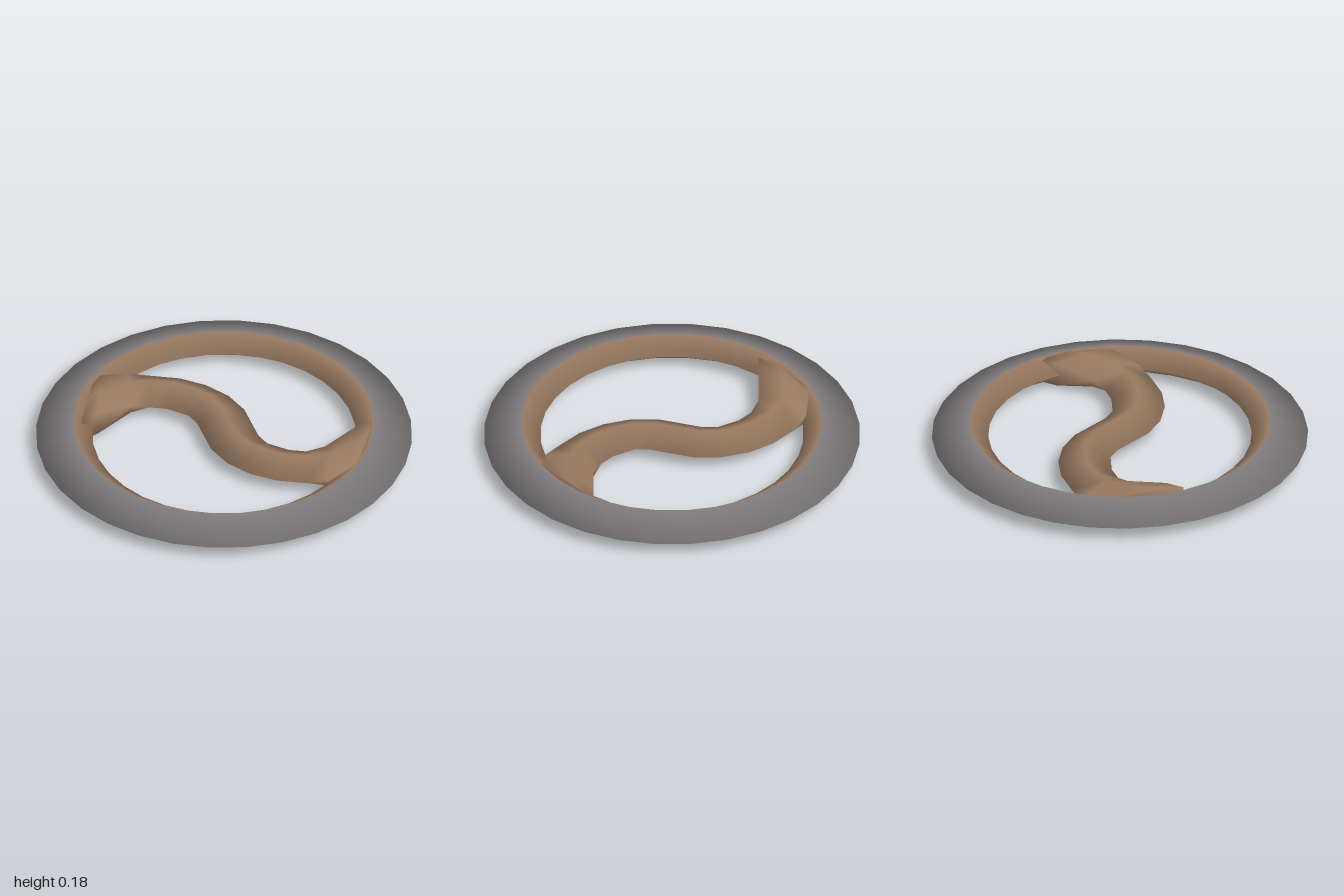
import * as THREE from 'three';
import { mergeVertices } from 'three/addons/utils/BufferGeometryUtils.js';

const MID = 0.1;        // height of the middle plane
const PIVOT_Z = -0.045; // the S repeats by a half turn about this point

// Diamond-profile ring, dark rim outside and brown lining inside
function buildRing(rim, lining) {
  const sides = 32;
  const profile = [[0.8, 0.022], [1, MID], [0.8, 0.178], [0.7, MID], [0.8, 0.022]]
    .map(([r, y]) => new THREE.Vector2(r, y));
  const geo = new THREE.LatheGeometry(profile, sides);
  // keep the crests smooth all the way round
  const normals = geo.attributes.normal;
  for (let i = 0; i <= sides; i++) {
    normals.setXYZ(i * 5, 0, -1, 0);
    normals.setXYZ(i * 5 + 2, 0, 1, 0);
    normals.setXYZ(i * 5 + 4, 0, -1, 0);
  }
  for (let i = 0; i < sides; i++) {
    geo.addGroup(i * 24, 12, 0);
    geo.addGroup(i * 24 + 12, 12, 1);
  }
  const ring = new THREE.Mesh(geo, [rim, lining]);
  ring.name = 'ring';
  return ring;
}

// S-shaped crossbar lofted through diamond sections that open out at the ends
function buildCrossbar(material) {
  // outer x, z, inner x, z, crest half height, edge half height
  const half = [
    [-0.78, 0.0, -0.69, 0.31, 0.088, 0.066],
    [-0.78, -0.09, -0.64, 0.22, 0.088, 0.066],
    [-0.69, -0.22, -0.54, 0.03, 0.078, 0.02],
    [-0.58, -0.28, -0.46, -0.03, 0.076, 0],
    [-0.43, -0.33, -0.37, -0.06, 0.076, 0],
    [-0.28, -0.34, -0.30, -0.06, 0.076, 0],
    [-0.13, -0.31, -0.24, -0.06, 0.076, 0],
    [0.0, -0.24, -0.17, -0.02, 0.076, 0],
  ];
  const turned = half.map(([ox, oz, ix, iz, c, e]) =>
    [-ix, 2 * PIVOT_Z - iz, -ox, 2 * PIVOT_Z - oz, c, e]).reverse();
  const sections = [...half, [0.09, -0.15, -0.09, 0.06, 0.076, 0], ...turned];

  const positions = [];
  const index = [];
  for (const [ox, oz, ix, iz, c, e] of sections) {
    const cx = (ox + ix) / 2, cz = (oz + iz) / 2;
    positions.push(
      ox, MID + e, oz, cx, MID + c, cz, ix, MID + e, iz,
      ix, MID - e, iz, cx, MID - c, cz, ox, MID - e, oz);
  }
  for (let i = 0; i < sections.length - 1; i++) {
    for (let j = 0; j < 6; j++) {
      const a = i * 6 + j, b = i * 6 + (j + 1) % 6;
      index.push(a, b, a + 6, b, b + 6, a + 6);
    }
  }
  // end caps
  const last = (sections.length - 1) * 6;
  for (let j = 1; j < 5; j++) {
    index.push(0, j + 1, j);
    index.push(last, last + j, last + j + 1);
  }
  let geo = new THREE.BufferGeometry();
  geo.setAttribute('position', new THREE.Float32BufferAttribute(positions, 3));
  geo.setIndex(index);
  geo = mergeVertices(geo);
  geo.computeVertexNormals();
  const bar = new THREE.Mesh(geo, material);
  bar.name = 'crossbar';
  return bar;
}

export function createModel() {
  const grey = new THREE.MeshStandardMaterial({ color: 0x807c7d });
  grey.name = 'grey';
  const brown = new THREE.MeshStandardMaterial({ color: 0x997a61 });
  brown.name = 'brown';
  const model = new THREE.Group();
  model.name = 'roundEmblem';
  model.add(buildRing(grey, brown), buildCrossbar(brown));
  return model;
}
